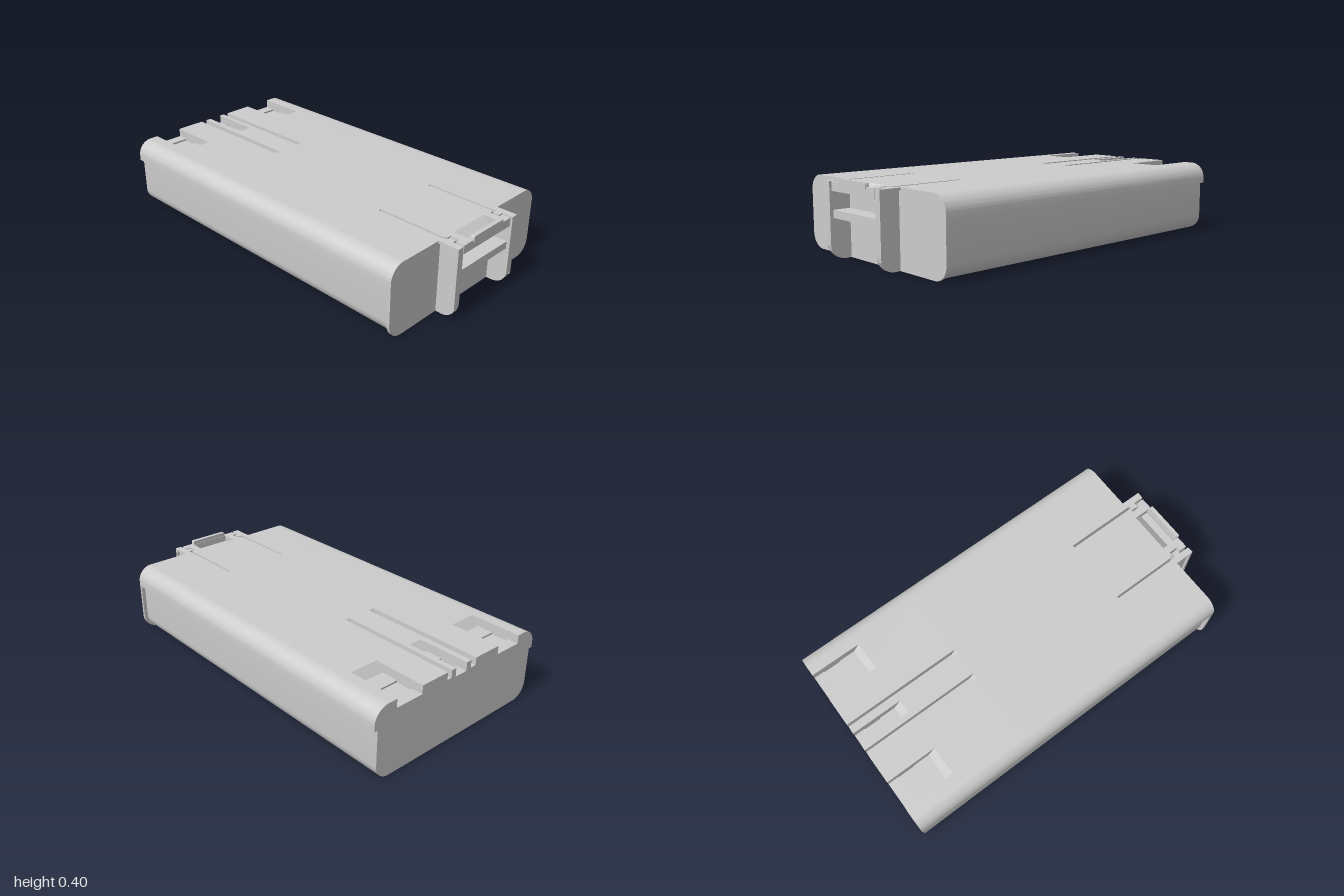
import * as THREE from 'three';
import { toCreasedNormals } from 'three/addons/utils/BufferGeometryUtils.js';

const TOP = 0.38, HALF = 0.545, R = 0.08;

export function createModel() {
  const model = new THREE.Group();
  model.name = 'batteryPack';
  const grey = new THREE.MeshStandardMaterial({ color: 0xcccccc });
  grey.name = 'plasticGrey';

  const add = (name, geometry) => {
    const mesh = new THREE.Mesh(toCreasedNormals(geometry, 0.6), grey);
    mesh.name = name;
    model.add(mesh);
    return mesh;
  };
  const box = (name, x0, x1, y0, y1, z0, z1) => add(name,
    new THREE.BoxGeometry(x1 - x0, y1 - y0, z1 - z0)
      .translate((x0 + x1) / 2, (y0 + y1) / 2, (z0 + z1) / 2));
  const extrude = (shape, depth) =>
    new THREE.ExtrudeGeometry(shape, { depth, bevelEnabled: false, curveSegments: 10 });
  const polygon = (points) => new THREE.Shape(points.map(([a, b]) => new THREE.Vector2(a, b)));
  // cross-section in x,y swept along z
  const sweepZ = (name, shape, z0, z1) => add(name, extrude(shape, z1 - z0).translate(0, 0, z0));
  // side profile in z,y swept along x
  const sweepX = (name, shape, x0, x1) =>
    add(name, extrude(shape, x1 - x0).rotateY(-Math.PI / 2).translate(x1, 0, 0));

  // rounded cross-section; notches [x0, x1, floor] are cut into the top, left to right
  function section(w, y0, y1, rBottom, rTop, notches = []) {
    const s = new THREE.Shape();
    s.moveTo(-w + rBottom, y0);
    s.lineTo(w - rBottom, y0);
    if (rBottom) s.absarc(w - rBottom, y0 + rBottom, rBottom, -Math.PI / 2, 0);
    s.lineTo(w, y1 - rTop);
    if (rTop) s.absarc(w - rTop, y1 - rTop, rTop, 0, Math.PI / 2);
    for (const [a, b, floor] of [...notches].sort((p, q) => q[0] - p[0])) {
      s.lineTo(b, y1);
      s.lineTo(b, floor);
      s.lineTo(a, floor);
      s.lineTo(a, y1);
    }
    s.lineTo(-w + rTop, y1);
    if (rTop) s.absarc(-w + rTop, y1 - rTop, rTop, Math.PI / 2, Math.PI);
    s.lineTo(-w, y0 + rBottom);
    if (rBottom) s.absarc(-w + rBottom, y0 + rBottom, rBottom, Math.PI, Math.PI * 1.5);
    return s;
  }

  // lower casing, slightly narrower than the lid
  sweepZ('lowerCasing', section(0.525, 0, 0.27, R, 0), -1, 0.875);

  // lid, in lengths with different cuts
  const pockets = [[-0.42, -0.265], [-0.037, 0.037], [0.257, 0.415]];
  const rails = [[-0.102, -0.068], [0.065, 0.093]];
  const slits = [[-0.197, -0.183], [0.177, 0.191]];
  const cut = (list, floor) => list.map(([a, b]) => [a, b, floor]);
  const floor = 0.335, railFloor = 0.34, slitFloor = 0.335;
  const railCuts = cut(rails, railFloor);
  const slitCuts = cut(slits, slitFloor);
  const lid = (z0, z1, notches) =>
    sweepZ('lid', section(HALF, 0.27, TOP, 0, R, notches), z0, z1);
  lid(-1, -0.94, [...cut(pockets, floor), ...railCuts]);
  lid(-0.94, -0.85, [...cut(pockets, floor - 0.01), ...railCuts]);
  lid(-0.85, -0.72, [...cut(pockets, floor), ...railCuts]);
  lid(-0.72, -0.34, railCuts);
  lid(-0.34, 0.51, []);
  lid(0.51, 0.875, slitCuts);

  // sloped ends of the pockets and rail slots
  for (const [a, b] of pockets)
    sweepX('pocketRamp', polygon([[-0.76, floor], [-0.72, floor], [-0.72, TOP]]), a, b);
  for (const [a, b] of rails)
    sweepX('railRamp', polygon([[-0.365, railFloor], [-0.34, railFloor], [-0.34, TOP]]), a, b);

  // end plate with the full rounded outline
  sweepZ('frontPlate', section(HALF, 0, TOP, R, R, slitCuts), 0.875, 0.89);

  // side cheeks of the latch housing, with rounded lower fronts and an outer lip
  for (const side of [-1, 1]) {
    const span = (a, b) => side > 0 ? [a, b] : [-b, -a];
    const cheek = new THREE.Shape();
    cheek.moveTo(0.89, 0);
    cheek.lineTo(0.92, 0);
    cheek.absarc(0.92, 0.08, 0.08, -Math.PI / 2, 0);
    cheek.lineTo(1, TOP);
    cheek.lineTo(0.89, TOP);
    sweepX('latchCheek', cheek, ...span(0.191, 0.215));
    box('cheekFrontLip', ...span(0.215, 0.227), 0.055, TOP, 0.985, 1);
    box('cheekTopLip', ...span(0.215, 0.227), 0.367, TOP, 0.89, 0.985);
    box('cheekCatch', ...span(0.165, 0.191), 0.335, TOP, 0.908, 0.942);
  }

  // cross bar between the cheeks
  box('crossBar', -0.191, 0.191, 0.203, 0.242, 0.89, 0.982);

  // latch: notched top frame around a finger recess, drawn in x,z
  const half = [[0.115, 0.89], [0.177, 0.89], [0.177, 0.9], [0.155, 0.9],
    [0.155, 0.95], [0.18, 0.95], [0.18, 0.995]];
  const mirrored = half.map(([x, z]) => [-x, z]).reverse();
  const frame = polygon([...half, ...mirrored, [-0.115, 0.975], [0.115, 0.975]]);
  add('latchFrame', extrude(frame, TOP - 0.335).rotateX(Math.PI / 2).translate(0, TOP, 0));
  box('latchFloor', -0.115, 0.115, 0.335, 0.345, 0.89, 0.975);
  sweepX('latchRamp', polygon([[0.89, 0.345], [0.935, 0.345], [0.89, TOP]]), -0.115, 0.115);

  // raised finger tab on the latch edge
  const tab = section(0.113, 0.37, 0.4, 0, 0.008);
  sweepZ('fingerTab', tab, 0.978, 1);

  return model;
}
